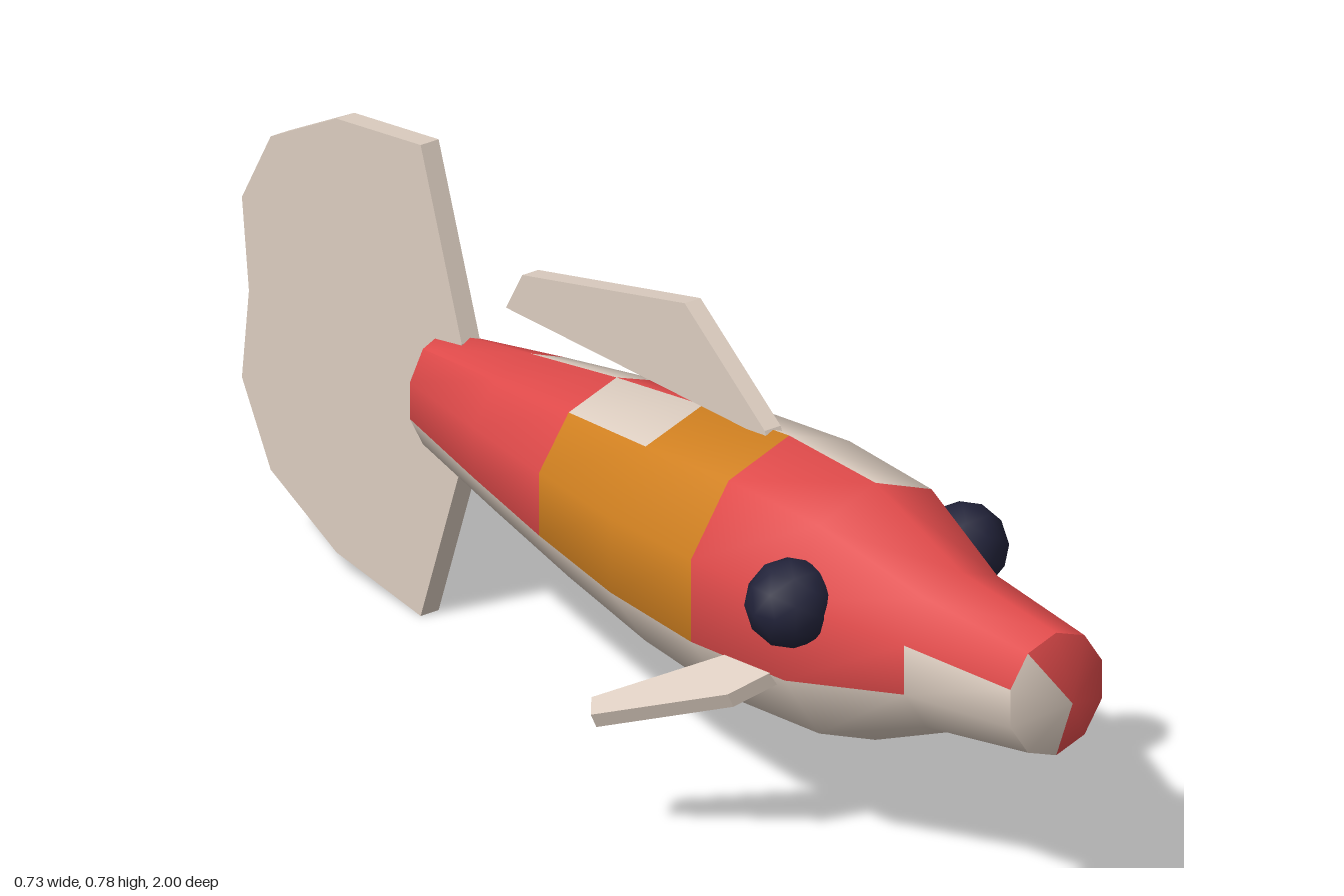
import * as THREE from 'three';
import { toCreasedNormals } from 'three/addons/utils/BufferGeometryUtils.js';

const material = (name, color) => {
  const m = new THREE.MeshStandardMaterial({ color });
  m.name = name;
  return m;
};

// Body stations from nose to tail: z, centre height, half height, half width
const STATIONS = [
  [1.0, 0.395, 0, 0],
  [0.96, 0.397, 0.102, 0.094],
  [0.73, 0.388, 0.132, 0.118],
  [0.52, 0.382, 0.214, 0.186],
  [0.31, 0.38, 0.222, 0.201],
  [0.1, 0.38, 0.2, 0.19],
  [-0.11, 0.384, 0.169, 0.159],
  [-0.32, 0.386, 0.134, 0.117],
  [-0.53, 0.387, 0.098, 0.07],
  [-0.575, 0.39, 0, 0],
];

// Colour of the ten facets of each band, starting at the top and going round by the left
const PATCHES = [
  'RRRRRWWWWR',
  'RRRWWWWWRR',
  'RRRWWWWRRR',
  'WRRWWWWRRR',
  'WWWWWWWOOO',
  'RWWWWWWOOW',
  'WRRWWWWRRR',
  'RRRWWWWRRR',
  'WWWWWOOOOO',
];

const SIDES = 10;

function bodyGeometry() {
  const positions = [];
  for (const [z, cy, ry, rx] of STATIONS) {
    for (let j = 0; j < SIDES; j++) {
      const a = (j / SIDES) * Math.PI * 2;
      positions.push(Math.sin(a) * rx, cy + Math.cos(a) * ry, z);
    }
  }
  const faces = { R: [], W: [], O: [] };
  PATCHES.forEach((band, i) => {
    for (let j = 0; j < SIDES; j++) {
      const k = (j + 1) % SIDES;
      const a = i * SIDES + j, b = i * SIDES + k;
      const c = b + SIDES, d = a + SIDES;
      if (i > 0) faces[band[j]].push(a, b, d);
      if (i < PATCHES.length - 1) faces[band[j]].push(b, c, d);
    }
  });
  const geo = new THREE.BufferGeometry();
  geo.setAttribute('position', new THREE.Float32BufferAttribute(positions, 3));
  geo.setIndex([...faces.R, ...faces.W, ...faces.O]);
  let start = 0;
  ['R', 'W', 'O'].forEach((key, m) => {
    geo.addGroup(start, faces[key].length, m);
    start += faces[key].length;
  });
  return toCreasedNormals(geo, 0.9);
}

// Flat plate of the given outline, centred on its thickness
function plate(points, depth) {
  const shape = new THREE.Shape(points.map(([x, y]) => new THREE.Vector2(x, y)));
  return new THREE.ExtrudeGeometry(shape, { depth, bevelEnabled: false }).translate(0, 0, -depth / 2);
}

export function createModel() {
  const red = material('red scales', 0xdf4a4a);
  const cream = material('cream', 0xdccdc0);
  const orange = material('orange scales', 0xd08020);
  const dark = material('dark eye', 0x22233a);

  const fish = new THREE.Group();
  fish.name = 'fish';
  const add = (name, geometry, mat) => {
    const mesh = new THREE.Mesh(geometry, mat);
    mesh.name = name;
    fish.add(mesh);
    return mesh;
  };

  add('body', bodyGeometry(), [red, cream, orange]);

  // Upright fins, outlined as z, y
  const tail = [
    [-0.465, 0.49], [-0.565, 0.787], [-0.77, 0.76], [-0.93, 0.675], [-1, 0.55], [-0.983, 0.4],
    [-1, 0.25], [-0.93, 0.12], [-0.77, 0.038], [-0.565, 0.003], [-0.465, 0.29],
  ];
  const dorsal = [[0.275, 0.588], [0.27, 0.6], [0.075, 0.745], [-0.32, 0.655], [-0.36, 0.587]];
  add('tailFin', plate(tail, 0.035).rotateY(-Math.PI / 2), cream);
  add('dorsalFin', plate(dorsal, 0.031).rotateY(-Math.PI / 2), cream);

  // Paired fins and eyes
  const pectoral = [[-0.04, 0.5], [0.06, 0.46], [0.2, 0.285], [0.172, 0.255], [0.0, 0.385], [-0.04, 0.41]];
  for (const s of [1, -1]) {
    const side = s > 0 ? 'left' : 'right';
    const outline = pectoral.map(([u, z]) => [s * u, z]);
    const fin = add(side + 'PectoralFin', plate(outline, 0.026).rotateX(Math.PI / 2), cream);
    fin.position.set(s * 0.18, 0.303, 0);
    fin.rotation.z = -s * THREE.MathUtils.degToRad(25);

    const eye = add(side + 'Eye', new THREE.IcosahedronGeometry(0.071, 1), dark);
    eye.position.set(s * 0.168, 0.444, 0.523);
  }
  return fish;
}
